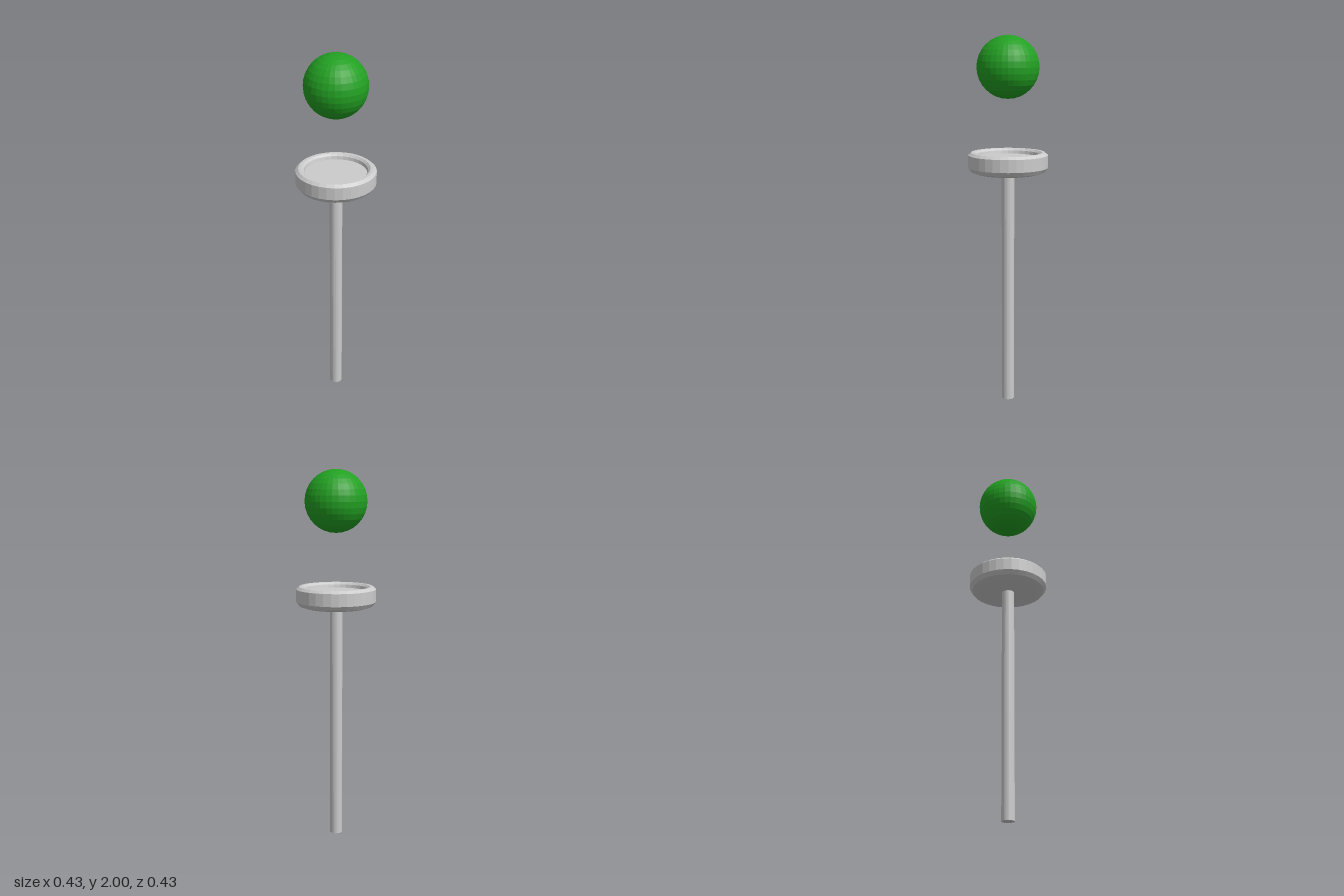
import * as THREE from 'three';

export function createModel() {
  const model = new THREE.Group();
  const grey = new THREE.MeshStandardMaterial({ color: 0xcccccc, flatShading: true });
  const green = new THREE.MeshStandardMaterial({ color: 0x22a022, flatShading: true });

  const add = (name, geometry, material, y = 0) => {
    const mesh = new THREE.Mesh(geometry, material);
    mesh.name = name;
    mesh.position.y = y;
    model.add(mesh);
  };

  // Slim upright post
  add('post', new THREE.CylinderGeometry(0.034, 0.034, 1.28, 24), grey, 0.64);

  // Shallow dish: rounded underside, bevelled rim, recessed floor
  const profile = [
    [0, 1.275], [0.165, 1.275], [0.197, 1.285], [0.213, 1.307],
    [0.213, 1.374], [0.197, 1.388], [0.18, 1.388],
    [0.168, 1.377], [0.164, 1.36], [0, 1.36],
  ].map(([r, y]) => new THREE.Vector2(r, y));
  add('dish', new THREE.LatheGeometry(profile, 32), grey);

  // Ball floating above the dish
  add('ball', new THREE.SphereGeometry(0.165, 32, 16), green, 1.835);

  return model;
}
